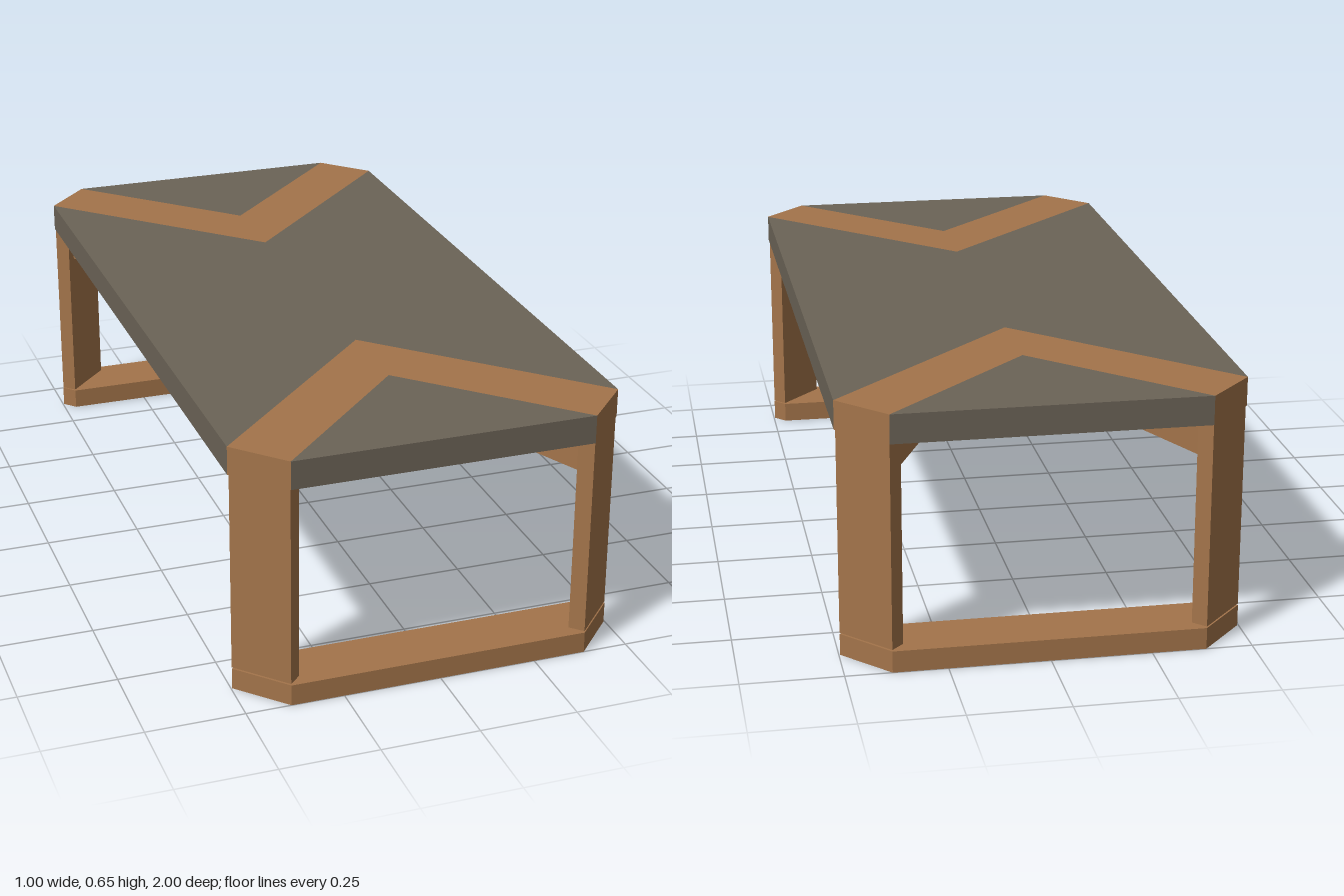
import * as THREE from 'three';

const wood = new THREE.MeshStandardMaterial({ color: 0xa3744a });
wood.name = 'warm wood';
const stone = new THREE.MeshStandardMaterial({ color: 0x6b6356 });
stone.name = 'grey brown panel';

// Upright prism from a plan outline of [x, z] points, between two heights
function prism(name, outline, bottom, top, material) {
  const shape = new THREE.Shape(outline.map(([x, z]) => new THREE.Vector2(x, z)));
  const geometry = new THREE.ExtrudeGeometry(shape, { depth: top - bottom, bevelEnabled: false });
  geometry.rotateX(Math.PI / 2).translate(0, top, 0);
  const mesh = new THREE.Mesh(geometry, material);
  mesh.name = name;
  return mesh;
}

export function createModel() {
  const table = new THREE.Group();
  table.name = 'table';
  const TOP = 0.65, UNDER = 0.577, FOOT = 0.055;

  // Central panel, notched at both ends for the chevrons
  table.add(prism('mainPanel', [
    [-0.5, -0.877], [0, -0.377], [0.5, -0.877],
    [0.5, 0.877], [0, 0.377], [-0.5, 0.877],
  ], UNDER, TOP, stone));

  // Crossed brace between the four legs
  const arm = [[0.45, 0.871], [0.375, 0.949], [0, 0.122]];
  table.add(prism('crossBrace', [
    [0.055, 0], ...arm,
    [-0.375, 0.949], [-0.45, 0.871], [-0.055, 0],
    [-0.45, -0.871], [-0.375, -0.949], [0, -0.122],
    [0.375, -0.949], [0.45, -0.871],
  ], 0.48, UNDER, wood));

  // The two identical ends
  for (const [name, turn] of [['frontEnd', 0], ['backEnd', Math.PI]]) {
    const end = new THREE.Group();
    end.name = name;
    end.rotation.y = turn;

    end.add(prism('endPanel', [[-0.385, 1], [0, 0.615], [0.385, 1]], UNDER, TOP, stone));
    end.add(prism('chevron', [
      [-0.5, 0.877], [0, 0.377], [0.5, 0.877],
      [0.385, 1], [0, 0.615], [-0.385, 1],
    ], UNDER, TOP, wood));

    // Flat legs set across the corners
    for (const s of [-1, 1]) {
      end.add(prism(s > 0 ? 'leftLeg' : 'rightLeg', [
        [s * 0.497, 0.878], [s * 0.385, 0.998], [s * 0.355, 0.968], [s * 0.467, 0.848],
      ], FOOT + 0.003, UNDER, wood));
    }

    // Floor rail joining the legs
    end.add(prism('floorRail', [
      [-0.385, 1], [-0.497, 0.88], [-0.467, 0.847],
      [0.467, 0.847], [0.497, 0.88], [0.385, 1],
    ], 0, FOOT, wood));
    table.add(end);
  }
  return table;
}
